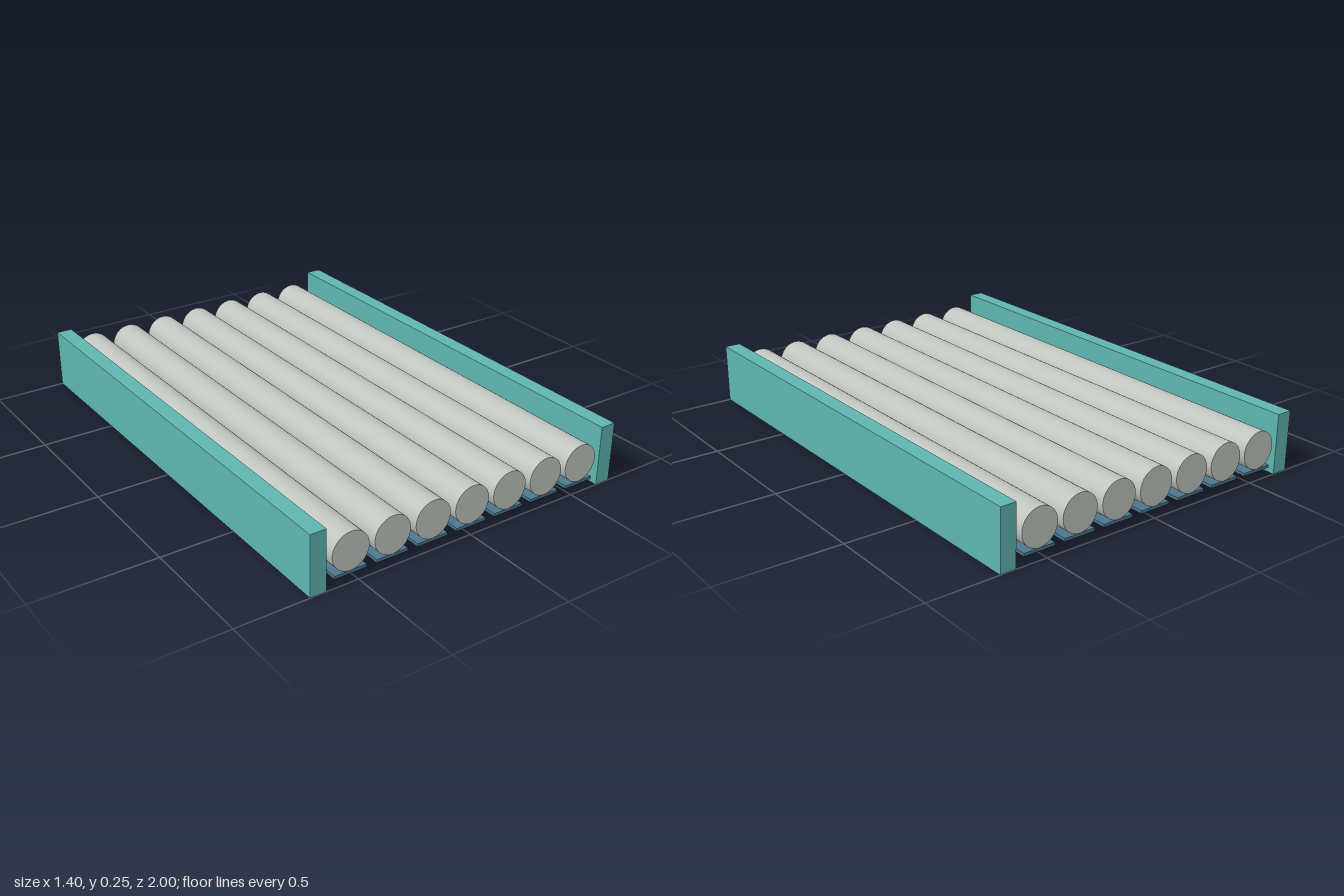
import * as THREE from 'three';

export function createModel() {
  const model = new THREE.Group();
  const teal = new THREE.MeshStandardMaterial({ name: 'teal rail', color: 0x5fb5b0 });
  const grey = new THREE.MeshStandardMaterial({ name: 'grey roller', color: 0xbfc4bf });
  const blue = new THREE.MeshStandardMaterial({ name: 'blue strip', color: 0x4c7890 });

  const length = 2, count = 7, pitch = 0.178, radius = 0.0775;

  const add = (name, geometry, material, x, y) => {
    const mesh = new THREE.Mesh(geometry, material);
    mesh.name = name;
    mesh.position.set(x, y, 0);
    model.add(mesh);
  };

  // Side rails
  const railGeometry = new THREE.BoxGeometry(0.066, 0.25, length);
  add('leftRail', railGeometry, teal, 0.667, 0.125);
  add('rightRail', railGeometry, teal, -0.667, 0.125);

  // Rollers running front to back, each above a thin flat strip
  const rollerGeometry = new THREE.CylinderGeometry(radius, radius, length, 48).rotateX(Math.PI / 2);
  const stripGeometry = new THREE.BoxGeometry(0.135, 0.012, length);
  for (let i = 0; i < count; i++) {
    const x = (i - (count - 1) / 2) * pitch;
    add(`roller${i + 1}`, rollerGeometry, grey, x, 0.127);
    add(`strip${i + 1}`, stripGeometry, blue, x, 0.043);
  }
  return model;
}
